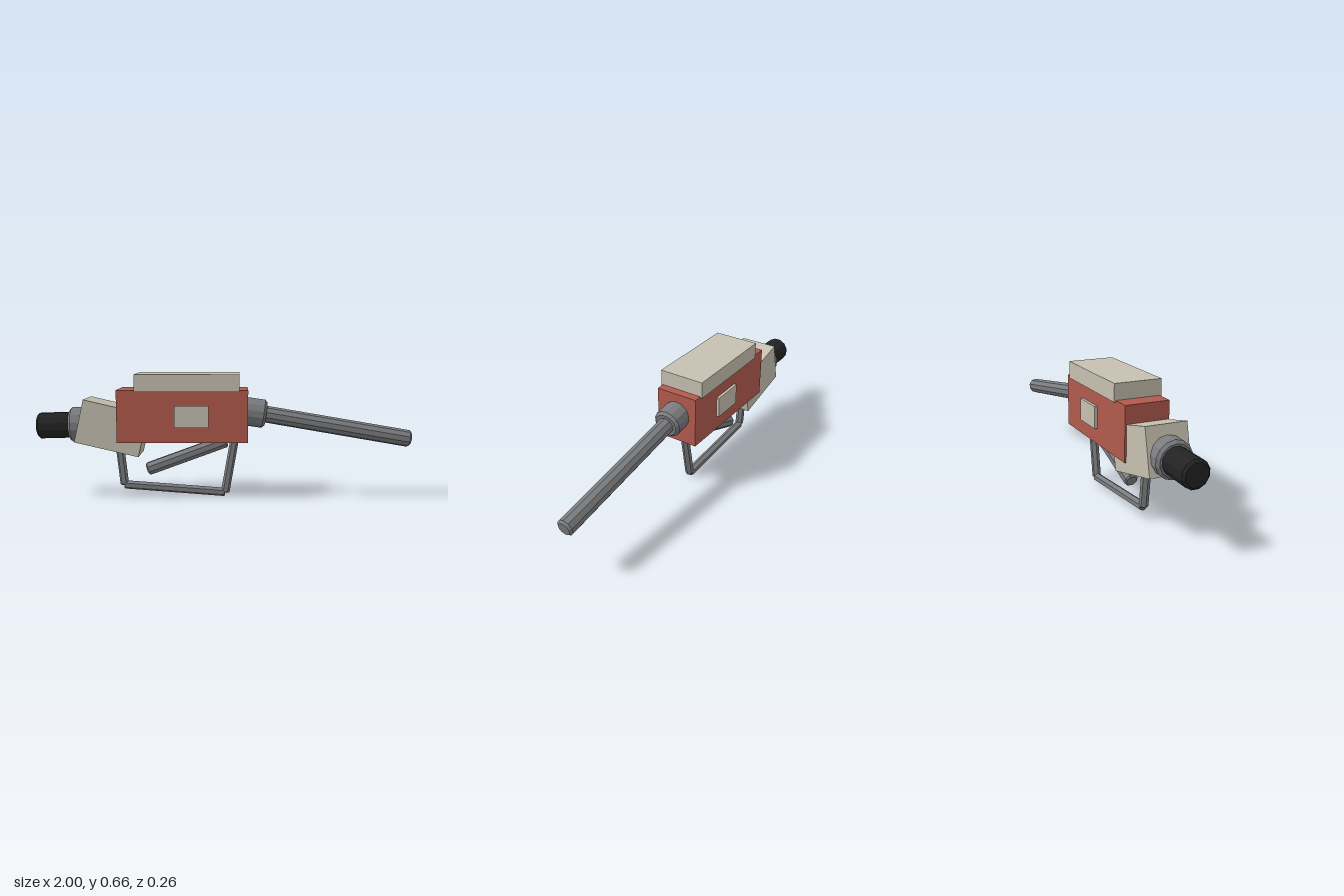
import * as THREE from 'three';

const mat = (name, color) => {
  const m = new THREE.MeshStandardMaterial({ color, flatShading: true });
  m.name = name;
  return m;
};

export function createModel() {
  const red = mat('red', 0xb25a4d);
  const beige = mat('beige', 0xc6c0b0);
  const steel = mat('steel grey', 0x7b7c7f);
  const black = mat('black', 0x232323);

  const model = new THREE.Group();
  model.name = 'model';

  const add = (name, geometry, material) => {
    const mesh = new THREE.Mesh(geometry, material);
    mesh.name = name;
    model.add(mesh);
    return mesh;
  };

  const box = (name, material, w, h, d, x, y, z = 0, tilt = 0) => {
    const mesh = add(name, new THREE.BoxGeometry(w, h, d), material);
    mesh.position.set(x, y, z);
    mesh.rotation.z = tilt;
    return mesh;
  };

  // Faceted rod with bevelled ends, running from a to b in the x-y plane
  const rod = (name, material, a, b, r, sides, bevel) => {
    const start = new THREE.Vector3(a[0], a[1], 0);
    const dir = new THREE.Vector3(b[0], b[1], 0).sub(start);
    const len = dir.length();
    const profile = [
      [0, 0], [r - bevel, 0], [r, bevel],
      [r, len - bevel], [r - bevel, len], [0, len],
    ].map(([x, y]) => new THREE.Vector2(x, y));
    const geometry = new THREE.LatheGeometry(profile, sides, Math.PI / sides);
    const mesh = add(name, geometry, material);
    mesh.position.copy(start);
    mesh.quaternion.setFromUnitVectors(new THREE.Vector3(0, 1, 0), dir.normalize());
    return mesh;
  };

  // Main housing, top cover and side panels
  box('body', red, 0.685, 0.275, 0.23, -0.218, 0.448);
  box('topCover', beige, 0.545, 0.09, 0.248, -0.193, 0.622);
  for (const side of [1, -1]) {
    box(side > 0 ? 'frontPanel' : 'backPanel', beige, 0.178, 0.114, 0.02, -0.169, 0.448, side * 0.12);
  }

  // Tilted rear block with collar and black end cap
  box('rearBlock', beige, 0.345, 0.23, 0.212, -0.592, 0.384, 0, -0.227);
  rod('rearCollar', steel, [-0.825, 0.391], [-0.73, 0.394], 0.094, 14, 0.014);
  rod('rearCap', black, [-0.998, 0.386], [-0.78, 0.392], 0.07, 12, 0.012);

  // Long front tube, sloping down, with its collar
  rod('frontCollar', steel, [0.06, 0.473], [0.221, 0.45], 0.076, 14, 0.014);
  rod('frontTube', steel, [0.15, 0.462], [0.992, 0.319], 0.045, 10, 0.011);

  // Diagonal lever beneath the housing
  rod('lever', steel, [-0.415, 0.15], [0.01, 0.307], 0.036, 8, 0.008);

  // Three-rod guard loop
  const guard = [[-0.567, 0.31], [-0.541, 0.065], [0.004, 0.025], [0.057, 0.33]];
  for (let i = 0; i < 3; i++) {
    rod('guardRod' + (i + 1), steel, guard[i], guard[i + 1], 0.023, 6, 0.005);
  }

  return model;
}
